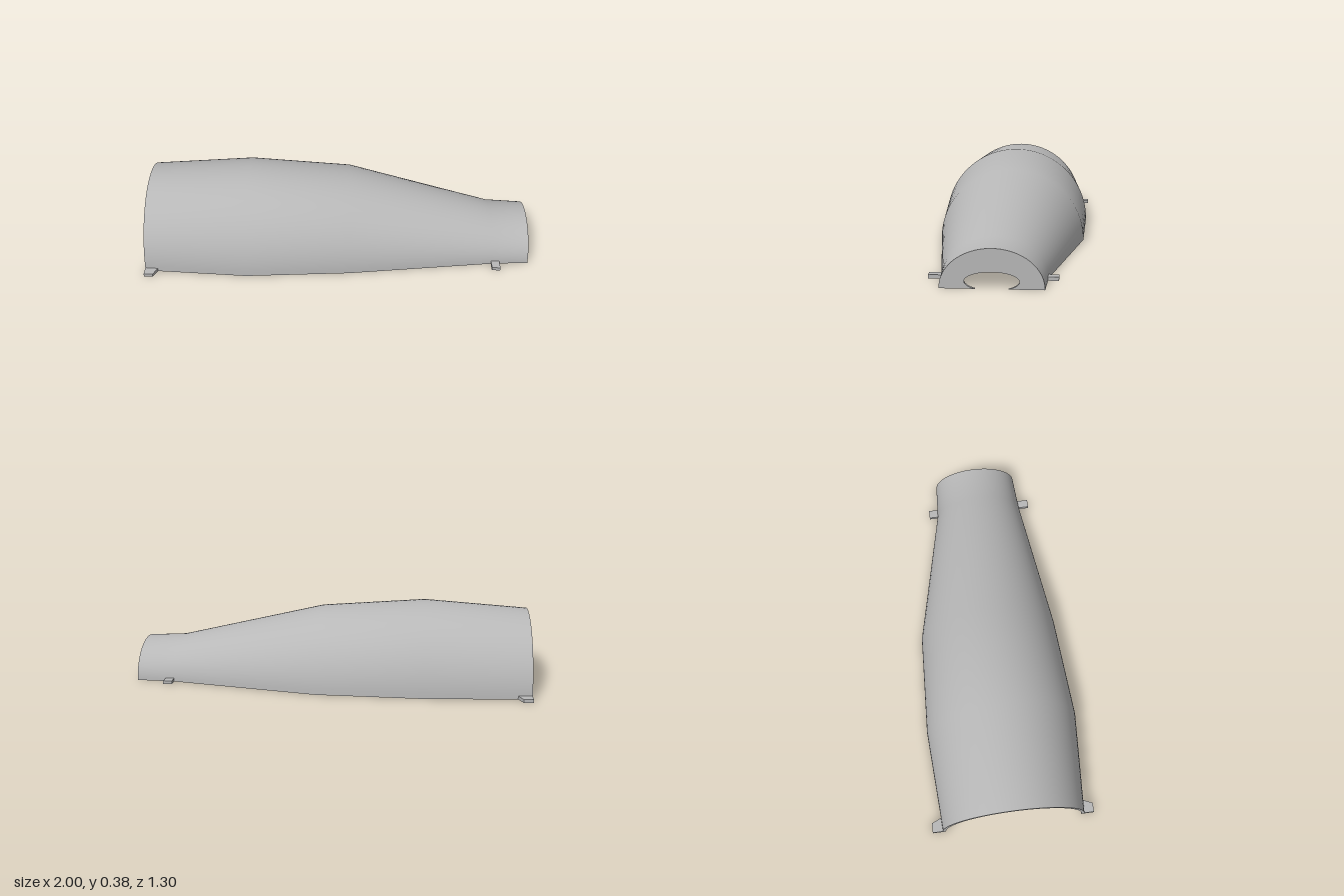
import * as THREE from 'three';

const THICK = 0.015;
const ARC = 40;

// stations along the cover: position, centre offset, half width, height
const STATIONS = [
  [-0.88, -0.08, 0.35, 0.345],
  [-0.38, -0.078, 0.38, 0.38],
  [0.125, -0.083, 0.351, 0.345],
  [0.837, -0.05, 0.226, 0.176],
  [1.018, -0.05, 0.215, 0.168],
];

// half-ellipse arch at one station, shrunk by inset
function arch([s, c, w, h], inset) {
  const pts = [];
  for (let j = 0; j <= ARC; j++) {
    const a = (Math.PI * j) / ARC;
    pts.push([s, (h - inset) * Math.sin(a), c + (w - inset) * Math.cos(a)]);
  }
  return pts;
}

// skin between successive rows of points
function loft(rows, flip = false) {
  const n = rows[0].length;
  const index = [];
  for (let i = 0; i < rows.length - 1; i++) {
    for (let j = 0; j < n - 1; j++) {
      const a = i * n + j, b = a + n, c = a + 1, d = b + 1;
      if (flip) index.push(a, c, b, b, c, d);
      else index.push(a, b, c, b, d, c);
    }
  }
  const geo = new THREE.BufferGeometry();
  geo.setAttribute('position', new THREE.Float32BufferAttribute(rows.flat(2), 3));
  geo.setIndex(index);
  geo.computeVertexNormals();
  return geo;
}

export function createModel() {
  const model = new THREE.Group();
  model.name = 'archedCover';
  const body = new THREE.Group();
  body.name = 'coverBody';
  body.rotation.y = THREE.MathUtils.degToRad(24);
  model.add(body);

  const grey = new THREE.MeshStandardMaterial({ color: 0xb8b8b8 });
  grey.name = 'grey';
  const add = (name, geo) => {
    const mesh = new THREE.Mesh(geo, grey);
    mesh.name = name;
    body.add(mesh);
    return mesh;
  };

  // shell skins
  const outer = STATIONS.map((st) => arch(st, 0));
  const inner = STATIONS.map((st) => arch(st, THICK));
  add('outerShell', loft(outer));
  add('innerShell', loft(inner, true));

  // end rims and lower edges close the wall thickness
  const last = STATIONS.length - 1;
  add('wideRim', loft([inner[0], outer[0]]));
  add('narrowRim', loft([outer[last], inner[last]]));
  const edge = (rows, j) => rows.map((r) => r[j]);
  add('leftLowerEdge', loft([edge(outer, 0), edge(inner, 0)]));
  add('rightLowerEdge', loft([edge(inner, ARC), edge(outer, ARC)]));

  // narrow end wall with an oval opening cut off at the bottom
  const [s, c, w, h] = STATIONS[last];
  const wall = new THREE.Shape();
  const cy = 0.031, rx = 0.112, ry = 0.039;
  const cut = Math.asin(cy / ry);
  wall.moveTo(w - THICK, 0);
  wall.absellipse(0, 0, w - THICK, h - THICK, 0, Math.PI, false);
  wall.lineTo(-rx * Math.cos(cut), 0);
  wall.absellipse(0, cy, rx, ry, Math.PI + cut, -cut, true);
  wall.closePath();
  const wallGeo = new THREE.ExtrudeGeometry(wall, { depth: THICK, bevelEnabled: false, curveSegments: ARC });
  wallGeo.rotateY(Math.PI / 2);
  wallGeo.translate(s - THICK, 0, c);
  add('endWall', wallGeo);

  // mounting tabs: tip start, tip end, root end, root and tip sideways positions
  const tabs = [
    ['wideTabRight', -0.88, -0.834, -0.81, -0.425, -0.48],
    ['wideTabLeft', -0.88, -0.836, -0.813, 0.265, 0.318],
    ['narrowTabRight', 0.834, 0.877, 0.877, -0.268, -0.32],
    ['narrowTabLeft', 0.834, 0.875, 0.875, 0.168, 0.228],
  ];
  for (const [name, s0, s1, s2, root, tip] of tabs) {
    const shape = new THREE.Shape([
      new THREE.Vector2(s0, -root),
      new THREE.Vector2(s2, -root),
      new THREE.Vector2(s1, -tip),
      new THREE.Vector2(s0, -tip),
    ]);
    const geo = new THREE.ExtrudeGeometry(shape, { depth: 0.016, bevelEnabled: false });
    geo.rotateX(-Math.PI / 2);
    add(name, geo);
  }
  return model;
}
